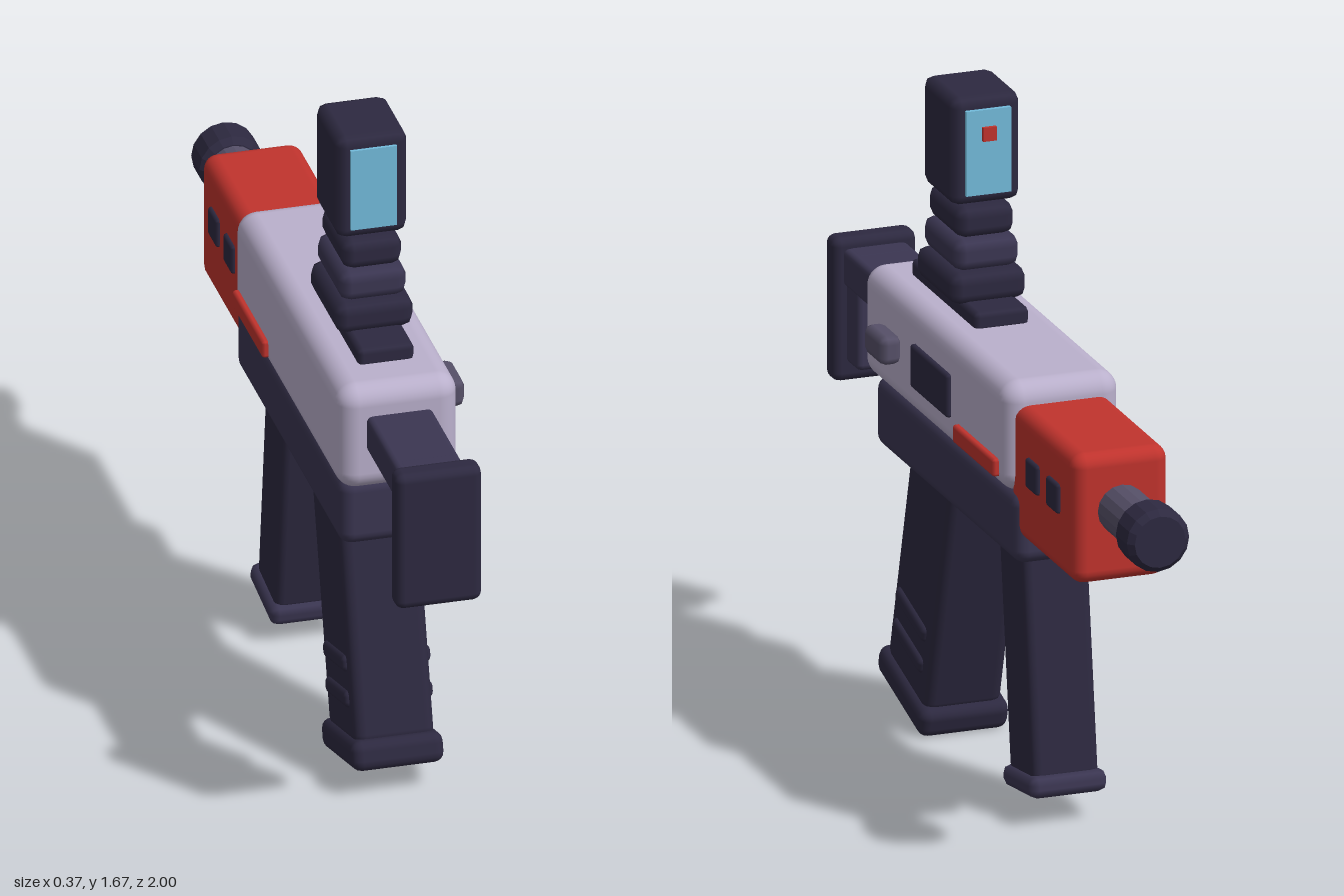
import * as THREE from 'three';
import { RoundedBoxGeometry } from 'three/addons/geometries/RoundedBoxGeometry.js';

const mat = (color) => new THREE.MeshStandardMaterial({ color });
const DARK = mat(0x2d2940), MID = mat(0x3b3652), BODY = mat(0xbab0cc);
const RED = mat(0xc0332d), METAL = mat(0x565068), GLASS = mat(0x73bcdc);

export function createModel() {
  const model = new THREE.Group();
  model.name = 'blaster';
  const CX = -0.023; // centre plane of the body; the side knob shifts it off zero

  const add = (name, geometry, material, x, y, z, tilt = 0) => {
    const mesh = new THREE.Mesh(geometry, material);
    mesh.name = name;
    mesh.position.set(CX + x, y, z);
    mesh.rotation.x = tilt;
    model.add(mesh);
    return mesh;
  };
  // Box with softened edges; one segment gives a plain bevel
  const block = (name, material, [w, h, d], [x, y, z], radius, segments = 3, tilt = 0) =>
    add(name, new RoundedBoxGeometry(w, h, d, segments, radius), material, x, y, z, tilt);

  // Main housing
  block('receiver', BODY, [0.3, 0.28, 0.98], [0, 0.99, 0.145], 0.05, 4);
  block('lowerReceiver', MID, [0.27, 0.18, 0.968], [0, 0.77, 0.106], 0.035);
  block('handguard', RED, [0.245, 0.33, 0.44], [0, 0.91, -0.52], 0.035);

  // Barrel and muzzle, turned along z
  const turned = (name, points, material) => {
    const g = new THREE.LatheGeometry(points.map(([r, z]) => new THREE.Vector2(r, z)), 16);
    g.rotateX(-Math.PI / 2);
    const flat = g.toNonIndexed();
    flat.computeVertexNormals();
    add(name, flat, material, 0, 0.93, 0);
  };
  turned('barrel', [[0.062, 0.7], [0.062, 0.92]], METAL);
  turned('muzzle', [[0, 0.895], [0.065, 0.895], [0.08, 0.91], [0.08, 0.985], [0.065, 1], [0, 1]], DARK);

  // Stock
  block('stockTube', MID, [0.165, 0.095, 0.36], [0, 1.007, 0.765], 0.015, 2);
  block('stockStrut', MID, [0.15, 0.29, 0.085], [0, 0.91, 0.903], 0.015, 2);
  block('buttPad', DARK, [0.215, 0.365, 0.065], [0, 0.898, 0.9675], 0.022, 2);

  // Rear grip with foot and side ribs
  const rearTilt = -0.27;
  block('rearGrip', DARK, [0.2, 0.68, 0.273], [0, 0.43, 0.38], 0.028, 2, rearTilt);
  block('rearGripFoot', DARK, [0.23, 0.077, 0.32], [0, 0.084, 0.476], 0.027, 2, rearTilt);
  for (const [y, z] of [[0.297, 0.421], [0.211, 0.443]])
    block('gripRib', DARK, [0.222, 0.044, 0.2], [0, y, z], 0.016, 2, rearTilt);

  // Forward grip with foot
  const frontTilt = 0.13;
  block('forwardGrip', DARK, [0.17, 0.63, 0.176], [0, 0.42, -0.24], 0.022, 2, frontTilt);
  block('forwardGripFoot', MID, [0.2, 0.055, 0.212], [0, 0.1, -0.284], 0.022, 1, frontTilt);

  // Sight mount: rail and stacked bellows rings
  block('sightRail', DARK, [0.14, 0.05, 0.44], [0, 1.145, 0.292], 0.014, 1);
  const rings = [[0.195, 0.265, 1.2, DARK], [0.168, 0.24, 1.28, MID], [0.15, 0.22, 1.36, DARK]];
  for (const [w, d, y, material] of rings)
    block('mountRing', material, [w, 0.08, d], [0, y, 0.284], 0.028, 1);

  // Sight body, lenses and indicator
  block('sightBody', DARK, [0.178, 0.275, 0.212], [0, 1.5425, 0.282], 0.026, 1);
  for (const z of [0.386, 0.175])
    add('sightLens', new THREE.BoxGeometry(0.115, 0.215, 0.02), GLASS, 0, 1.5425, z);
  add('sightDot', new THREE.BoxGeometry(0.035, 0.035, 0.02), RED, 0, 1.59, 0.166);

  // Details repeated on both flanks
  for (const s of [-1, 1]) {
    block('sideStripe', RED, [0.04, 0.046, 0.28], [s * 0.145, 0.909, -0.16], 0.008, 1);
    for (const z of [-0.466, -0.606])
      block('handguardVent', DARK, [0.03, 0.076, 0.08], [s * 0.117, 0.938, z], 0.008, 1);
  }

  // Ejection port and charging knob, left flank only
  block('ejectionPort', DARK, [0.04, 0.11, 0.252], [0.142, 0.985, 0.15], 0.008, 1);
  block('chargingStem', METAL, [0.06, 0.04, 0.07], [0.155, 0.995, 0.413], 0.01, 1);
  block('chargingKnob', METAL, [0.056, 0.074, 0.128], [0.179, 0.995, 0.413], 0.02, 1);

  return model;
}
